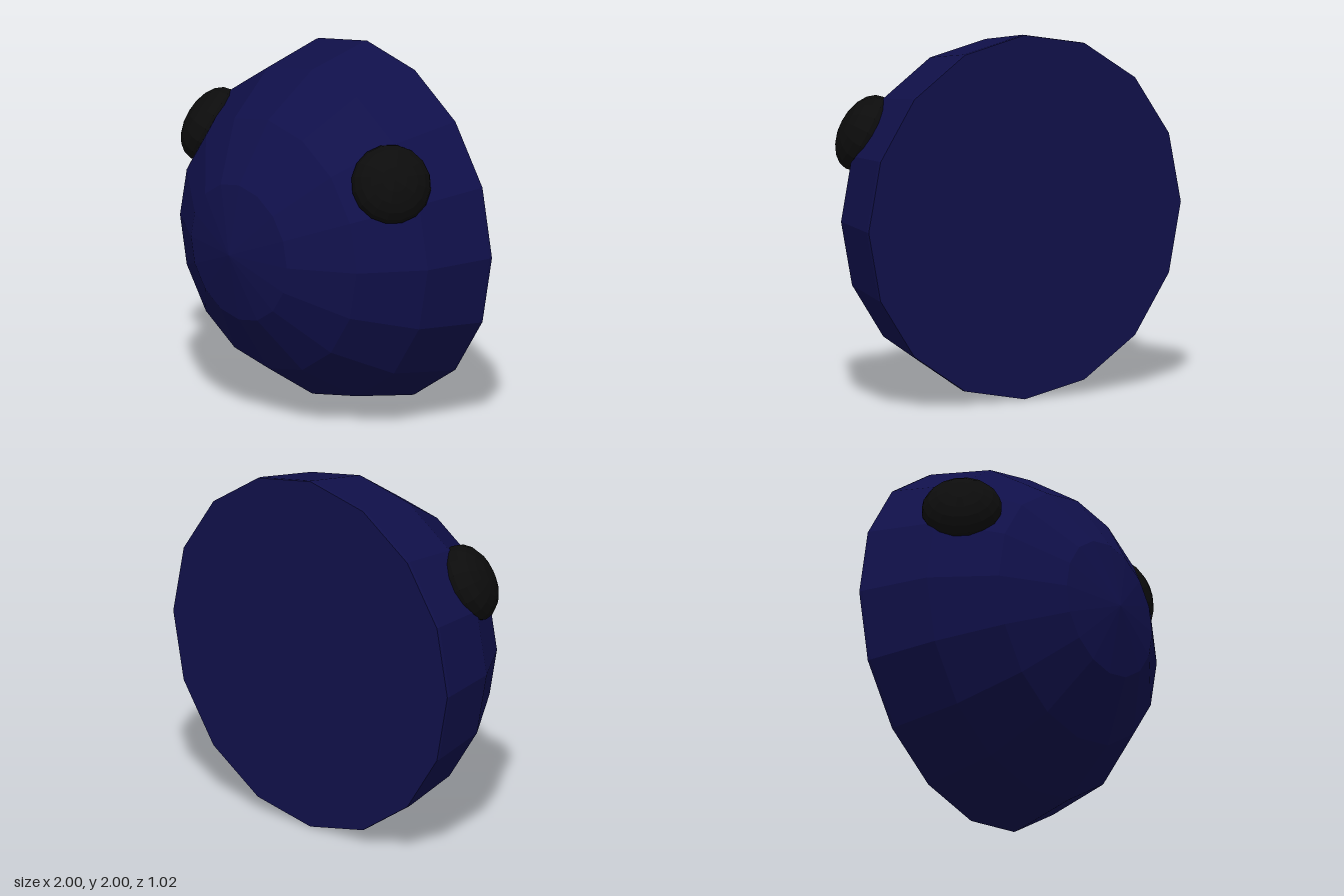
import * as THREE from 'three';

const navy = new THREE.MeshStandardMaterial({ color: 0x10104a, flatShading: true });
const black = new THREE.MeshStandardMaterial({ color: 0x0c0c0c, flatShading: true });

export function createModel() {
  const group = new THREE.Group();

  // Faceted half dome with a thin rim and a flat back, turned to face +z
  const profile = [new THREE.Vector2(0, -0.51), new THREE.Vector2(1, -0.51)];
  for (let i = 0; i <= 4; i++) {
    const a = (i * Math.PI) / 8;
    profile.push(new THREE.Vector2(i === 4 ? 0 : Math.cos(a), Math.sin(a) - 0.49));
  }
  const dome = new THREE.Mesh(new THREE.LatheGeometry(profile, 16), navy);
  dome.name = 'dome';
  dome.rotation.x = Math.PI / 2;
  dome.position.y = 1;
  group.add(dome);

  // Flattened eyes lying against the dome, one on each side
  const up = new THREE.Vector3(0, 1, 0);
  for (const side of [1, -1]) {
    const eye = new THREE.Mesh(new THREE.SphereGeometry(1, 16, 10), black);
    eye.name = side > 0 ? 'leftEye' : 'rightEye';
    eye.scale.set(0.22, 0.14, 0.22);
    eye.position.set(0.72 * side, 1.46, -0.025);
    const outward = eye.position.clone().sub(new THREE.Vector3(0, 1, -0.49)).normalize();
    eye.quaternion.setFromUnitVectors(up, outward);
    group.add(eye);
  }
  return group;
}
